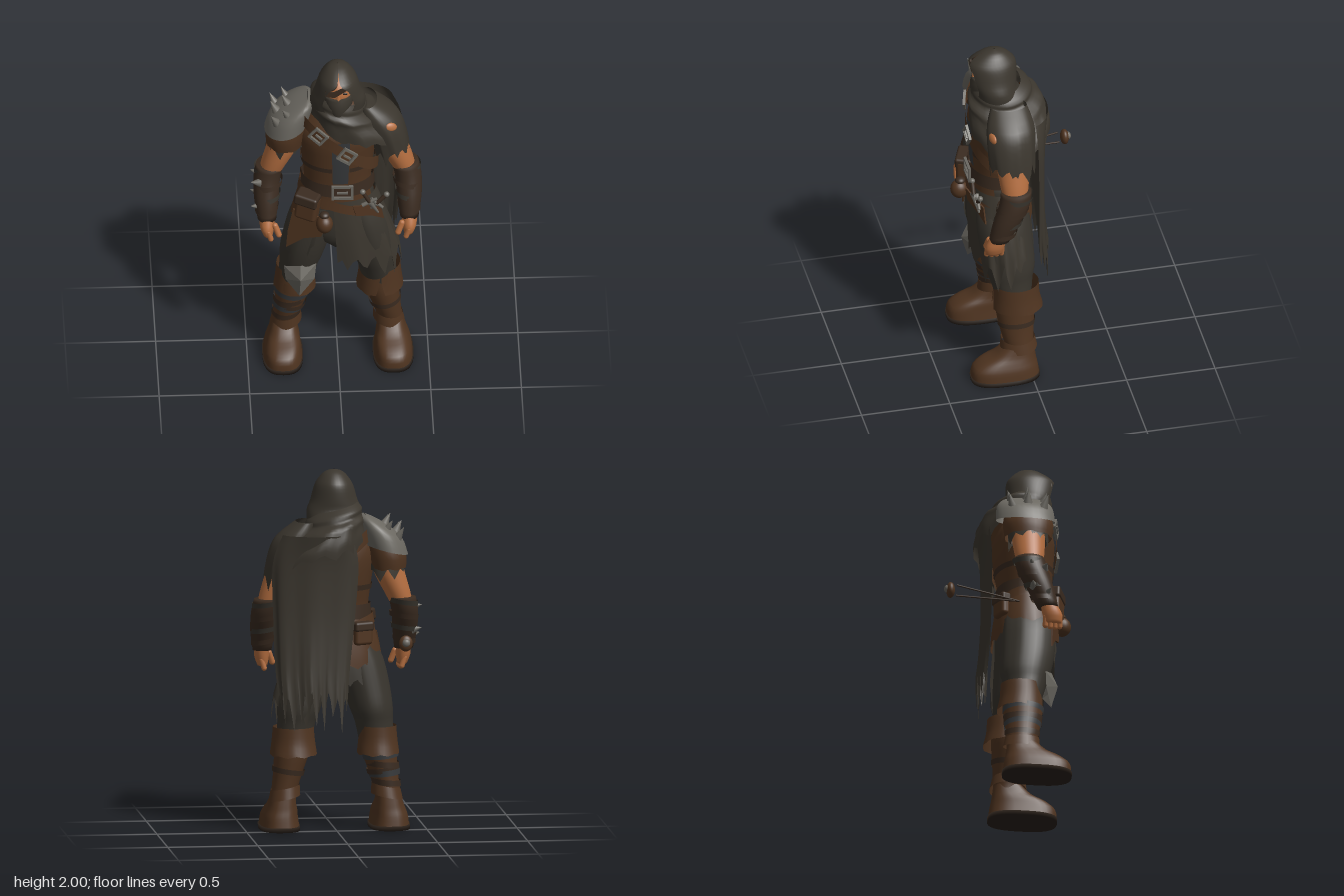
import * as THREE from 'three';
import { RoundedBoxGeometry } from 'three/addons/geometries/RoundedBoxGeometry.js';

const mat = (name, color) => new THREE.MeshStandardMaterial({ name, color, side: THREE.DoubleSide });
const cloth = mat('charcoal cloth', 0x3b362e), trouser = mat('trouser cloth', 0x38342d);
const leather = mat('brown leather', 0x4f3420), darkLeather = mat('dark leather', 0x3a2b20);
const metal = mat('dull metal', 0x6b6861), skin = mat('skin', 0xb46e40);
const shirt = mat('shirt', 0x36383a), sole = mat('sole', 0x2a211a);

const hash = (n) => { const s = Math.sin(n * 12.9898) * 43758.5453; return s - Math.floor(s); };
// Ragged hem: broad pointed tatters with finer fraying
const tatter = (j) => 0.25 * hash(j + 1) + 0.75 * [0, 0.45, 1, 0.35][j % 4] * (0.25 + 0.75 * hash(Math.floor(j / 4) + 7));

// Smooth interpolation of rings [y, cx, cz, rx, rz, frontOpening]
function refine(rings, sub) {
  const out = [], at = (i) => rings[Math.min(Math.max(i, 0), rings.length - 1)];
  for (let i = 0; i < rings.length - 1; i++) for (let k = 0; k < sub; k++) {
    const t = k / sub, [a, b, c, d] = [at(i - 1), at(i), at(i + 1), at(i + 2)];
    out.push(b.map((_, q) => b[q] + 0.5 * t * (c[q] - a[q] + t * (2 * a[q] - 5 * b[q] + 4 * c[q] - d[q] + t * (3 * (b[q] - c[q]) + d[q] - a[q])))));
  }
  return [...out, at(rings.length - 1)];
}

// Surface through elliptical rings; angle 0 is the front, growing towards +x
function loft(rings, { seg = 32, sub = 3, arc = null, hem = 0, tilt = 0, fold = 0, cap = false, square = 1 } = {}) {
  const rows = refine(rings, sub), n = rows.length, pos = [], idx = [];
  const open = arc || rings[0].length > 5, cols = open ? seg + 1 : seg;
  const power = (v) => Math.sign(v) * Math.abs(v) ** square;
  rows.forEach(([y, cx, cz, rx, rz, o = 0], i) => {
    const [a0, a1] = arc || [o, Math.PI * 2 - o], t = i / (n - 1);
    for (let j = 0; j < cols; j++) {
      const a = a0 + (a1 - a0) * j / seg, f = 1 + fold * t * Math.sin(a * 9);
      const x = cx + rx * f * power(Math.sin(a));
      pos.push(x, y - tilt * x - hem * t ** 3 * tatter(j), cz + rz * f * power(Math.cos(a)));
    }
  });
  const up = rows[n - 1][0] > rows[0][0];
  const tri = (a, b, c) => up ? idx.push(a, b, c) : idx.push(a, c, b);
  for (let i = 0; i < n - 1; i++) for (let j = 0; j < seg; j++) {
    const a = i * cols + j, b = i * cols + (j + 1) % cols;
    tri(a, b, b + cols);
    tri(a, b + cols, a + cols);
  }
  if (cap) [0, n - 1].forEach((i) => {
    const c = pos.length / 3;
    pos.push(rows[i][1], rows[i][0], rows[i][2]);
    for (let j = 0; j < seg; j++) {
      const a = i * cols + j, b = i * cols + (j + 1) % cols;
      i ? tri(a, b, c) : tri(b, a, c);
    }
  });
  const g = new THREE.BufferGeometry();
  g.setAttribute('position', new THREE.Float32BufferAttribute(pos, 3));
  g.setIndex(idx);
  g.computeVertexNormals();
  return g;
}

export function createModel() {
  const root = new THREE.Group();
  root.name = 'hoodedRogue';
  const add = (name, geo, m, p = [0, 0, 0], r = [0, 0, 0], s = [1, 1, 1]) => {
    const mesh = new THREE.Mesh(geo, m);
    mesh.name = name;
    mesh.position.set(...p); mesh.rotation.set(...r); mesh.scale.set(...s);
    root.add(mesh);
    return mesh;
  };
  const ball = (name, m, p, s, r) => add(name, new THREE.SphereGeometry(1, 24, 16), m, p, r, s);
  const rod = (name, m, a, b, r0, r1 = r0) => {
    const A = new THREE.Vector3(...a), d = new THREE.Vector3(...b).sub(A);
    const mesh = add(name, new THREE.CylinderGeometry(r1, r0, d.length(), 12), m, A.clone().addScaledVector(d, 0.5).toArray());
    mesh.quaternion.setFromUnitVectors(new THREE.Vector3(0, 1, 0), d.normalize());
  };
  const plate = (pts, depth, hole) => {
    const shape = new THREE.Shape(pts.map((p) => new THREE.Vector2(...p)));
    if (hole) shape.holes.push(new THREE.Path(hole.map((p) => new THREE.Vector2(...p))));
    return new THREE.ExtrudeGeometry(shape, { depth, bevelEnabled: false });
  };
  const rect = (w, h) => [[-w, -h], [w, -h], [w, h], [-w, h]];
  const buckle = (p, r, w, h) => {
    add('buckle', plate(rect(w, h), 0.015, rect(w - 0.013, h - 0.013)), metal, p, r);
    add('bucklePin', new THREE.BoxGeometry(w, 0.01, 0.012), metal, [p[0], p[1], p[2] + 0.012], r);
  };

  // Legs, boots and arms, mirrored
  for (const s of [1, -1]) {
    const limb = (name, m, rings, opt) => add(name, loft(rings.map(([y, x, ...q]) => [y, x * s, ...q]), opt), m);
    limb('trouserLeg', trouser, [[0.5, 0.23, 0.08, 0.1, 0.1], [0.6, 0.215, 0.09, 0.105, 0.12], [0.68, 0.2, 0.095, 0.12, 0.14], [0.8, 0.175, 0.11, 0.13, 0.15], [0.95, 0.14, 0.12, 0.13, 0.15], [1.08, 0.1, 0.12, 0.11, 0.14]], { fold: 0.02 });
    limb('bootShaft', leather, [[0.12, 0.295, 0.05, 0.072, 0.075], [0.2, 0.29, 0.06, 0.07, 0.08], [0.3, 0.27, 0.07, 0.078, 0.095], [0.42, 0.245, 0.075, 0.095, 0.11], [0.5, 0.235, 0.075, 0.1, 0.11]]);
    limb('bootFoot', leather, [[0.02, 0.305, 0.145, 0.108, 0.19], [0.075, 0.305, 0.145, 0.1, 0.183], [0.115, 0.3, 0.125, 0.09, 0.155], [0.15, 0.297, 0.09, 0.078, 0.115], [0.2, 0.293, 0.065, 0.068, 0.083]], { square: 0.75 });
    limb('bootSole', sole, [[0, 0.305, 0.145, 0.112, 0.193], [0.025, 0.305, 0.145, 0.113, 0.194]], { square: 0.75, sub: 1, cap: true });
    limb('ankleFlap', leather, [[0.3, 0.28, 0.067, 0.08, 0.094], [0.24, 0.285, 0.063, 0.088, 0.103]], { tilt: s * 0.2 });
    limb('shinStrap', darkLeather, [[0.31, 0.26, 0.072, 0.09, 0.107], [0.28, 0.265, 0.072, 0.087, 0.103]], { tilt: s * -0.15 });
    const big = s > 0 ? 1 : 0.9;
    limb('bootCuff', leather, [[0.58, 0.235, 0.065, 0.113 * big, 0.125 * big, 0.03], [0.5, 0.235, 0.065, 0.12 * big, 0.13 * big, 0.06], [0.43, 0.235, 0.06, 0.13 * big, 0.142 * big, 0.2]], { hem: 0.015 });
    limb('upperArm', skin, [[1.24, 0.375, 0.1, 0.06, 0.065], [1.32, 0.345, 0.1, 0.073, 0.08], [1.42, 0.305, 0.1, 0.085, 0.09], [1.56, 0.265, 0.1, 0.088, 0.095]]);
    limb('bracer', darkLeather, [[0.99, 0.393, 0.195, 0.052, 0.058], [1.1, 0.395, 0.155, 0.068, 0.075], [1.21, 0.39, 0.11, 0.074, 0.085], [1.29, 0.372, 0.095, 0.076, 0.085]], { cap: true });
    [1.03, 1.1, 1.17, 1.25].forEach((y, i) => {
      const t = (y - 1) / 0.25, r = 0.059 + 0.02 * Math.min(1, t * 1.5), lift = 0.058;
      limb('bracerWrap', i % 2 ? trouser : darkLeather, [[y + lift, 0.396 - 0.014 * t, 0.185 - 0.09 * t, r, r + 0.008], [y + lift + 0.028, 0.394 - 0.014 * t, 0.177 - 0.09 * t, r + 0.002, r + 0.01]], { tilt: s * 0.15 });
    });
    limb('palm', skin, [[0.9, 0.388, 0.225, 0.027, 0.045], [0.95, 0.393, 0.22, 0.04, 0.055], [1.01, 0.393, 0.2, 0.04, 0.046]], { cap: true });
    for (let i = 0; i < 4; i++) {
      add('finger', new THREE.CapsuleGeometry(0.015, 0.05, 4, 10), skin, [s * (0.39 - i * 0.003), 0.905 + Math.abs(i - 1.5) * 0.005, 0.182 + i * 0.027], [0, 0, s * -0.3]);
    }
    add('thumb', new THREE.CapsuleGeometry(0.017, 0.06, 4, 10), skin, [s * 0.34, 0.94, 0.25], [-0.2, 0, s * -0.35]);
  }

  // Shin wraps and faceted knee guard on the right leg
  for (let i = 0; i < 4; i++) {
    const h = i * 0.05, slant = i % 2 ? 0.1 : -0.1;
    add('shinWrap', loft([[0.25 + h, -0.283 + h * 0.2, 0.066 + h * 0.06, 0.08 + h * 0.12, 0.095 + h * 0.11], [0.283 + h, -0.277 + h * 0.2, 0.068 + h * 0.06, 0.083 + h * 0.12, 0.099 + h * 0.11]], { tilt: slant }), i % 2 ? shirt : darkLeather, [0, -slant * 0.26, 0]);
  }
  const rim = [[-0.3, 0.65], [-0.29, 0.56], [-0.215, 0.47], [-0.13, 0.56], [-0.12, 0.66], [-0.21, 0.68]];
  const guard = new THREE.BufferGeometry();
  guard.setAttribute('position', new THREE.Float32BufferAttribute(rim.flatMap((p, i) => {
    const q = rim[(i + 1) % 6], z = (x) => 0.24 - Math.abs(x + 0.21) * 0.5;
    return [...p, z(p[0]), ...q, z(q[0]), -0.21, 0.6, 0.275];
  }), 3));
  guard.computeVertexNormals();
  add('kneeGuard', guard, metal);

  // Torso
  add('pelvis', loft([[0.78, 0, 0.12, 0.05, 0.09], [0.86, 0, 0.12, 0.16, 0.135], [1, 0, 0.12, 0.21, 0.145], [1.2, 0, 0.12, 0.185, 0.14]], { cap: true }), trouser);
  add('vest', loft([[1.08, 0, 0.12, 0.205, 0.15], [1.22, 0, 0.12, 0.185, 0.145], [1.4, 0, 0.11, 0.205, 0.165], [1.55, 0, 0.11, 0.225, 0.17], [1.66, 0, 0.1, 0.17, 0.13], [1.74, 0, 0.1, 0.09, 0.09]]), leather);
  add('shirtFront', loft([[1.26, 0, 0.12, 0.19, 0.15], [1.4, 0, 0.11, 0.21, 0.17], [1.55, 0, 0.11, 0.23, 0.175]], { arc: [-0.17, 0.28] }), shirt);
  add('vestBand', loft([[1.34, 0, 0.115, 0.204, 0.162], [1.37, 0, 0.113, 0.208, 0.168]], { arc: [0.3, 6.1] }), darkLeather);
  add('tunicSkirt', loft([[1.2, 0, 0.12, 0.198, 0.155], [1.1, 0, 0.12, 0.228, 0.172], [1.0, 0, 0.12, 0.255, 0.185], [0.94, 0, 0.12, 0.265, 0.19]], { arc: [2.3, 5.2], hem: 0.04 }), leather);
  add('raggedSkirtLeft', loft([[1.14, 0.01, 0.12, 0.2, 0.155], [0.95, 0.03, 0.12, 0.25, 0.17], [0.78, 0.05, 0.115, 0.295, 0.175]], { arc: [-0.2, 2.9], hem: 0.24, fold: 0.03 }), cloth);
  add('raggedSkirtRight', loft([[1.1, 0, 0.12, 0.215, 0.158], [0.95, 0, 0.12, 0.25, 0.172], [0.86, -0.01, 0.12, 0.265, 0.175]], { arc: [3.2, 5.8], hem: 0.12, fold: 0.02 }), trouser);

  // Belts, strap and buckles
  add('belt', loft([[1.18, 0, 0.12, 0.205, 0.165], [1.26, 0, 0.12, 0.2, 0.162]]), darkLeather);
  add('slantedBelt', loft([[1.08, 0.01, 0.12, 0.232, 0.172], [1.14, 0.01, 0.12, 0.222, 0.168]], { tilt: 0.32 }), leather);
  add('chestStrap', loft([[1.47, 0, 0.11, 0.225, 0.185], [1.55, 0, 0.11, 0.225, 0.185]], { tilt: 0.8 }), leather);
  buckle([0.02, 1.22, 0.285], [0, 0, 0], 0.06, 0.045);
  buckle([-0.11, 1.6, 0.27], [0, -0.3, -0.65], 0.045, 0.042);
  buckle([0.045, 1.475, 0.292], [0, 0.1, -0.65], 0.045, 0.042);

  // Pouches, flaps and knives
  const pouch = (p, r, w, h, d) => {
    add('pouch', new RoundedBoxGeometry(w, h, d, 3, 0.02), leather, p, r);
    add('pouchFlap', new RoundedBoxGeometry(w + 0.01, h * 0.45, d + 0.01, 3, 0.015), darkLeather, [p[0], p[1] + h * 0.36, p[2]], r);
  };
  pouch([-0.17, 1.11, 0.26], [0, -0.4, -0.12], 0.125, 0.15, 0.09);
  pouch([-0.14, 1.1, -0.03], [0, 0.45, 0], 0.11, 0.12, 0.05);
  ball('roundPouch', leather, [-0.08, 1.025, 0.315], [0.047, 0.055, 0.05]);
  ball('pouchNeck', darkLeather, [-0.08, 1.08, 0.31], [0.028, 0.02, 0.028]);
  add('hangingFlap', plate([[-0.26, 1.08], [-0.05, 1.04], [-0.1, 0.92], [-0.2, 0.89], [-0.3, 0.81], [-0.29, 0.93]], 0.009), leather, [0, 0, 0.315], [0, -0.3, 0]);
  add('sideFlap', plate([[0.08, 1.14], [0.25, 1.1], [0.27, 1.0], [0.2, 1.04], [0.1, 1.07]], 0.009), leather, [0, 0, 0.34], [0, 0.4, 0]);
  [[0.17, 1.15, 0.5], [0.21, 1.13, -0.75]].forEach(([x, y, tilt], i) => {
    const z = 0.29 - i * 0.015, dx = Math.sin(tilt), dy = Math.cos(tilt);
    rod('knifeGrip', darkLeather, [x, y, z], [x - dx * 0.07, y + dy * 0.07, z], 0.012);
    rod('knifeGuard', metal, [x - dy * 0.045, y - dx * 0.045, z], [x + dy * 0.045, y + dx * 0.045, z], 0.012, 0.009);
    rod('knifeBlade', metal, [x, y, z], [x + dx * 0.1, y - dy * 0.1, z - 0.02], 0.016, 0.006);
    ball('knifePommel', metal, [x - dx * 0.08, y + dy * 0.08, z], [0.016, 0.016, 0.016]);
  });

  // Sleeves and cape
  add('leftSleeve', loft([[1.72, 0.16, 0.09, 0.06, 0.1], [1.64, 0.22, 0.095, 0.105, 0.13], [1.56, 0.262, 0.1, 0.108, 0.135], [1.45, 0.295, 0.1, 0.102, 0.125]], { hem: 0.13, seg: 40, fold: 0.03 }), cloth);
  ball('sleeveTear', skin, [0.292, 1.605, 0.21], [0.035, 0.024, 0.012], [-0.35, 0.4, -0.2]);
  add('rightSleeve', loft([[1.56, -0.26, 0.1, 0.1, 0.11], [1.47, -0.28, 0.1, 0.105, 0.112]], { hem: 0.1 }), cloth);
  add('cape', loft([[1.66, 0.09, 0.0, 0.22, 0.14], [1.5, 0.09, -0.01, 0.28, 0.105], [1.2, 0.1, -0.02, 0.27, 0.085], [0.95, 0.11, -0.02, 0.25, 0.095], [0.82, 0.11, -0.03, 0.235, 0.1]], { arc: [1.8, 3.95], hem: 0.29, fold: 0.07, seg: 44, sub: 5 }), cloth);

  // Shoulder armour with spikes
  add('armourUnderlayer', loft([[1.64, -0.24, 0.1, 0.09, 0.12], [1.54, -0.28, 0.1, 0.112, 0.14], [1.46, -0.29, 0.1, 0.105, 0.13]], { hem: 0.015 }), leather);
  add('shoulderArmour', loft([[1.795, -0.165, 0.09, 0.003, 0.05], [1.775, -0.195, 0.09, 0.065, 0.115], [1.72, -0.25, 0.085, 0.115, 0.155], [1.63, -0.282, 0.085, 0.122, 0.165]], { tilt: -0.25 }), metal);
  for (const [x, y] of [[-0.335, 1.65], [-0.272, 1.69]]) for (const side of [-1, 0, 1]) {
    const p = [x, y - 0.025 * Math.abs(side), 0.092 + side * 0.085];
    rod('armourSpike', metal, p, [x - 0.035, p[1] + 0.065, p[2] + side * 0.025], 0.027, 0.001);
  }
  [[1.23, 0.09], [1.21, 0.18], [1.1, 0.1], [1.06, 0.2]].forEach(([y, z]) =>
    rod('bracerSpike', metal, [-0.43, y, z - (z - 0.14) * 0.3], [-0.482, y + 0.012, z], 0.026, 0.001));

  // Cowl, hood and face
  add('cowl', loft([[1.79, 0, 0.12, 0.125, 0.13], [1.755, 0.005, 0.1, 0.155, 0.165], [1.725, 0.01, 0.095, 0.155, 0.17], [1.7, 0.03, 0.085, 0.19, 0.205], [1.67, 0.045, 0.075, 0.2, 0.21], [1.625, 0.075, 0.07, 0.24, 0.22], [1.585, 0.085, 0.07, 0.255, 0.22]], { tilt: 0.25, hem: 0.07, fold: 0.02, seg: 48 }), cloth);
  add('hood', loft([[2.0, 0, 0.135, 0.003, 0.003, 0], [1.985, 0, 0.14, 0.05, 0.062, 0], [1.94, 0, 0.15, 0.09, 0.122, 0.12], [1.9, 0, 0.15, 0.11, 0.137, 0.5], [1.83, 0, 0.147, 0.13, 0.135, 0.66], [1.77, 0, 0.137, 0.153, 0.125, 0.6], [1.7, 0, 0.115, 0.15, 0.14, 0.35]]), cloth);
  ball('head', skin, [0, 1.84, 0.155], [0.084, 0.1, 0.098]);
  ball('hairLock', darkLeather, [-0.045, 1.905, 0.205], [0.045, 0.035, 0.045]);
  add('mask', loft([[1.66, 0, 0.18, 0.02, 0.04], [1.7, 0, 0.17, 0.055, 0.09], [1.78, 0, 0.16, 0.086, 0.112], [1.835, 0, 0.155, 0.088, 0.106]], { cap: true }), cloth);
  add('nose', new THREE.ConeGeometry(0.018, 0.06, 8), skin, [0, 1.85, 0.25], [0.1, 0, 0]);
  add('eyePatchStrap', plate([[-0.075, 1.86], [-0.02, 1.85], [0.055, 1.905], [0.04, 1.92], [-0.03, 1.885], [-0.07, 1.9]], 0.008), darkLeather, [0, 0, 0.25]);
  for (const s of [1, -1]) ball('eye', sole, [s * 0.035, 1.864, 0.24], [0.016, 0.007, 0.006]);

  // Slim rods with a capped end behind the right hip
  rod('rearRod', darkLeather, [-0.375, 1.03, 0.04], [-0.355, 1.115, -0.305], 0.005);
  rod('rearRod', darkLeather, [-0.375, 1.03, 0.04], [-0.338, 1.06, -0.31], 0.005);
  ball('rodCap', leather, [-0.342, 1.09, -0.34], [0.038, 0.045, 0.024]);
  ball('rodCapStud', metal, [-0.342, 1.095, -0.36], [0.022, 0.022, 0.016]);
  return root;
}
